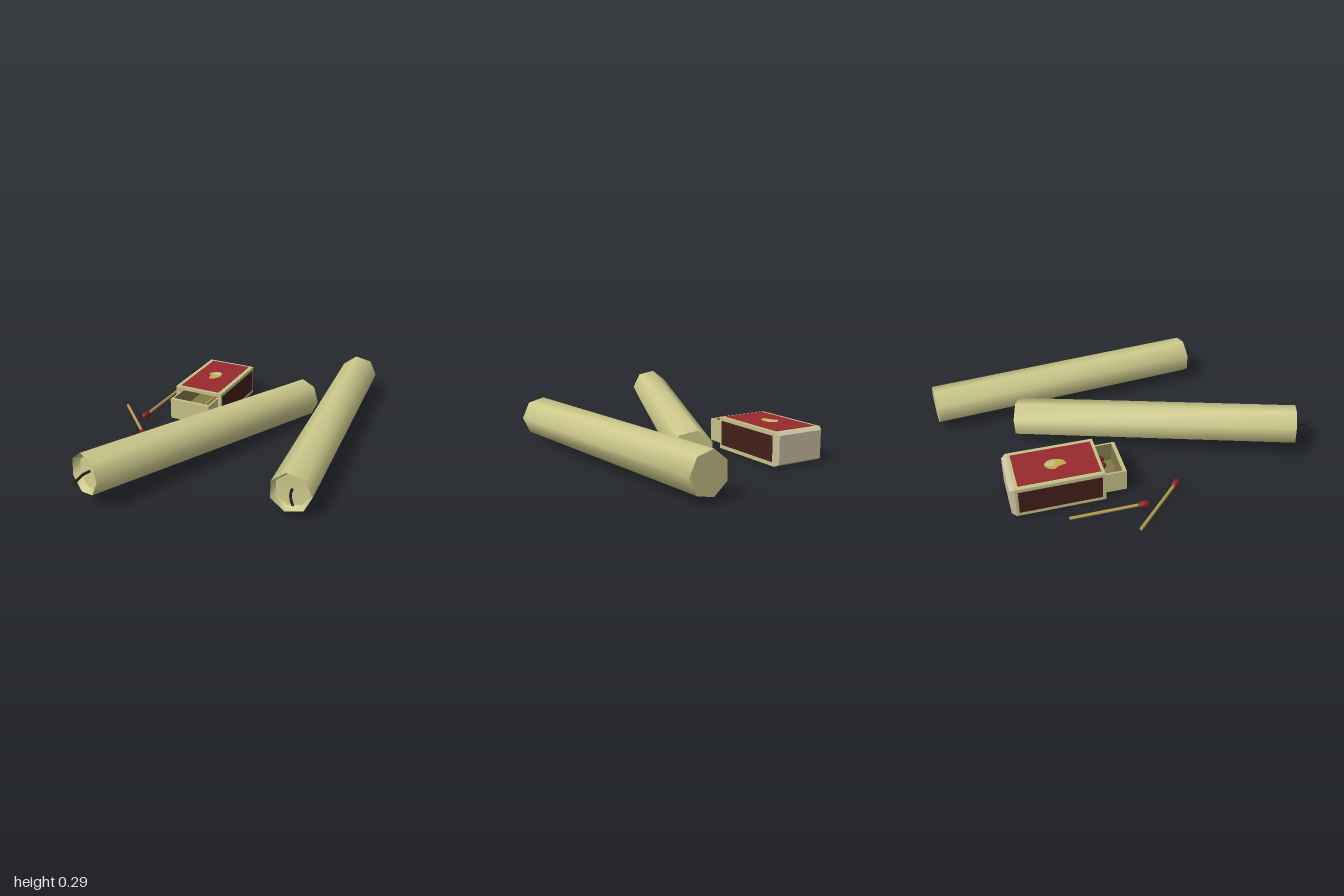
import * as THREE from 'three';
import { toCreasedNormals } from 'three/addons/utils/BufferGeometryUtils.js';

const mat = (name, color, side = THREE.FrontSide) => {
  const m = new THREE.MeshStandardMaterial({ color, side });
  m.name = name;
  return m;
};
const V = (x, y, z) => new THREE.Vector3(x, y, z);

export function createModel() {
  const wax = mat('wax', 0xcdc98c);
  const card = mat('card', 0xc6c188);
  const inside = mat('card inside', 0x837a4a);
  const trayEnd = mat('tray end paper', 0xcbbfa0);
  const red = mat('label red', 0x982a2e);
  const gold = mat('emblem gold', 0xc2ae4c);
  const dark = mat('striker brown', 0x43201a);
  const wood = mat('match wood', 0xb89c50);
  const headRed = mat('match head red', 0x7c2020);
  const wickMat = mat('wick', 0x2c1812, THREE.DoubleSide);

  const model = new THREE.Group();
  model.name = 'candlesAndMatches';
  const add = (parent, name, geo, material, pos) => {
    const m = new THREE.Mesh(geo, material);
    m.name = name;
    if (pos) m.position.copy(pos);
    parent.add(m);
    return m;
  };
  const box = (parent, name, material, x0, x1, y0, y1, z0, z1) =>
    add(parent, name, new THREE.BoxGeometry(x1 - x0, y1 - y0, z1 - z0), material,
      V((x0 + x1) / 2, (y0 + y1) / 2, (z0 + z1) / 2));

  // Seven-sided candles lying down, with a hollow burnt end and a wick
  const candle = (name, back, front, wickPoints) => {
    const half = back.distanceTo(front) / 2, R = 0.11;
    const profile = [[0, -half], [R, -half], [R, half], [0.091, half - 0.034], [0, half - 0.04]]
      .map(([r, y]) => new THREE.Vector2(r, y));
    const geo = toCreasedNormals(
      new THREE.LatheGeometry(profile, 7).rotateY(Math.PI / 2).rotateX(Math.PI / 2), 1.0);
    const body = add(model, name, geo, wax, back.clone().lerp(front, 0.5));
    body.lookAt(front);
    const wick = new THREE.Group();
    wick.name = name + 'Wick';
    model.add(wick);
    const curve = new THREE.CatmullRomCurve3(wickPoints);
    add(wick, 'wickCord', new THREE.TubeGeometry(curve, 8, 0.007, 6), wickMat);
    add(wick, 'wickTip', new THREE.SphereGeometry(0.007, 6, 4), wickMat, wickPoints.at(-1));
  };
  candle('leaningCandle', V(0.273, 0.113, -0.541), V(-0.32, 0.188, 0.918),
    [V(-0.312, 0.186, 0.87), V(-0.322, 0.188, 0.93), V(-0.321, 0.18, 0.993)]);
  candle('flatCandle', V(0.478, 0.14, -0.992), V(0.615, 0.14, 0.576),
    [V(0.608, 0.14, 0.53), V(0.618, 0.138, 0.58), V(0.633, 0.131, 0.612), V(0.653, 0.126, 0.643)]);

  // Matches: a thin square stick with a spindle-shaped head
  const match = (name, tail, tip) => {
    const len = tail.distanceTo(tip);
    const g = new THREE.Group();
    g.name = name;
    g.position.copy(tail);
    g.lookAt(tip);
    model.add(g);
    const stick = new THREE.CylinderGeometry(0.009, 0.009, len - 0.03, 6).rotateX(Math.PI / 2);
    add(g, 'matchStick', stick, wood, V(0, 0, (len - 0.03) / 2));
    const head = new THREE.SphereGeometry(1, 8, 6).rotateX(Math.PI / 2).scale(0.021, 0.021, 0.035);
    add(g, 'matchHead', head, headRed, V(0, 0, len - 0.035));
  };
  match('looseMatch', V(-0.55, 0.04, -0.425), V(-0.55, 0.04, 0.005));
  match('angledMatch', V(-0.72, 0.04, -0.097), V(-0.418, 0.04, 0.207));
  for (const x of [-0.247, -0.196]) match('boxedMatch', V(x, 0.085, -0.58), V(x, 0.085, -0.15));

  // Matchbox sleeve: a rectangular tube
  const matchbox = new THREE.Group();
  matchbox.name = 'matchbox';
  model.add(matchbox);
  const x0 = -0.43, x1 = -0.13, y0 = 0.01, y1 = 0.187, zb = -0.675, zf = -0.2;
  const rect = (S, a, b, c, d) => new S(
    [[a, c], [b, c], [b, d], [a, d]].map(([x, y]) => new THREE.Vector2(x, y)));
  const outline = rect(THREE.Shape, x0, x1, y0, y1);
  outline.holes.push(rect(THREE.Path, -0.405, -0.15, 0.03, 0.167));
  add(matchbox, 'sleeve', new THREE.ExtrudeGeometry(outline,
    { depth: zf - zb, bevelEnabled: false }), card, V(0, 0, zb));

  // Sliding tray, pulled out at the front
  const tray = new THREE.Group();
  tray.name = 'tray';
  matchbox.add(tray);
  box(tray, 'trayBottom', card, -0.404, -0.151, 0.031, 0.04, zb, -0.08);
  box(tray, 'trayFloor', inside, -0.394, -0.161, 0.04, 0.044, zb, -0.1);
  box(tray, 'trayFront', card, -0.404, -0.151, 0.031, 0.155, -0.1, -0.08);
  for (const [a, b, lin] of [[-0.404, -0.394, -0.392], [-0.161, -0.151, -0.163]]) {
    box(tray, 'traySide', card, a, b, 0.031, 0.155, zb, -0.08);
    const edge = a < -0.3 ? b : a;
    box(tray, 'traySideLining', inside, Math.min(edge, lin), Math.max(edge, lin), 0.04, 0.154, zb, -0.1);
  }
  box(tray, 'trayFrontLining', inside, -0.394, -0.161, 0.04, 0.154, -0.102, -0.1);

  // Closed back end, tapering slightly
  const endGeo = new THREE.BoxGeometry(x1 - x0, y1 - y0, 0.025);
  const p = endGeo.attributes.position;
  for (let i = 0; i < p.count; i++) {
    if (p.getZ(i) < 0) p.setXY(i, p.getX(i) * 0.91, p.getY(i) * 0.84);
  }
  endGeo.computeVertexNormals();
  add(matchbox, 'backEnd', endGeo, trayEnd, V((x0 + x1) / 2, (y0 + y1) / 2, zb - 0.0125));

  // Painted panels: red label on top, striking strips on both sides
  box(matchbox, 'label', red, -0.405, -0.155, y1, y1 + 0.003, -0.655, -0.218);
  box(matchbox, 'leftStriker', dark, x1, x1 + 0.003, 0.032, 0.167, -0.66, -0.218);
  box(matchbox, 'rightStriker', dark, x0 - 0.003, x0, 0.032, 0.167, -0.66, -0.218);

  // Flame-shaped emblem with a paler patch
  const blob = (name, pts, material, y) => {
    const s = new THREE.Shape();
    s.moveTo(...pts[0]);
    s.splineThru([...pts.slice(1), pts[0]].map(([x, yy]) => new THREE.Vector2(x, yy)));
    add(matchbox, name, new THREE.ShapeGeometry(s, 6).rotateX(-Math.PI / 2), material, V(0, y, 0));
  };
  blob('emblem', [[-0.30, 0.378], [-0.268, 0.39], [-0.248, 0.43], [-0.255, 0.475],
    [-0.285, 0.495], [-0.315, 0.478], [-0.328, 0.445], [-0.312, 0.425]], gold, y1 + 0.005);
  blob('emblemHighlight', [[-0.29, 0.437], [-0.262, 0.44], [-0.258, 0.47],
    [-0.285, 0.488], [-0.305, 0.468]], card, y1 + 0.007);

  return model;
}
